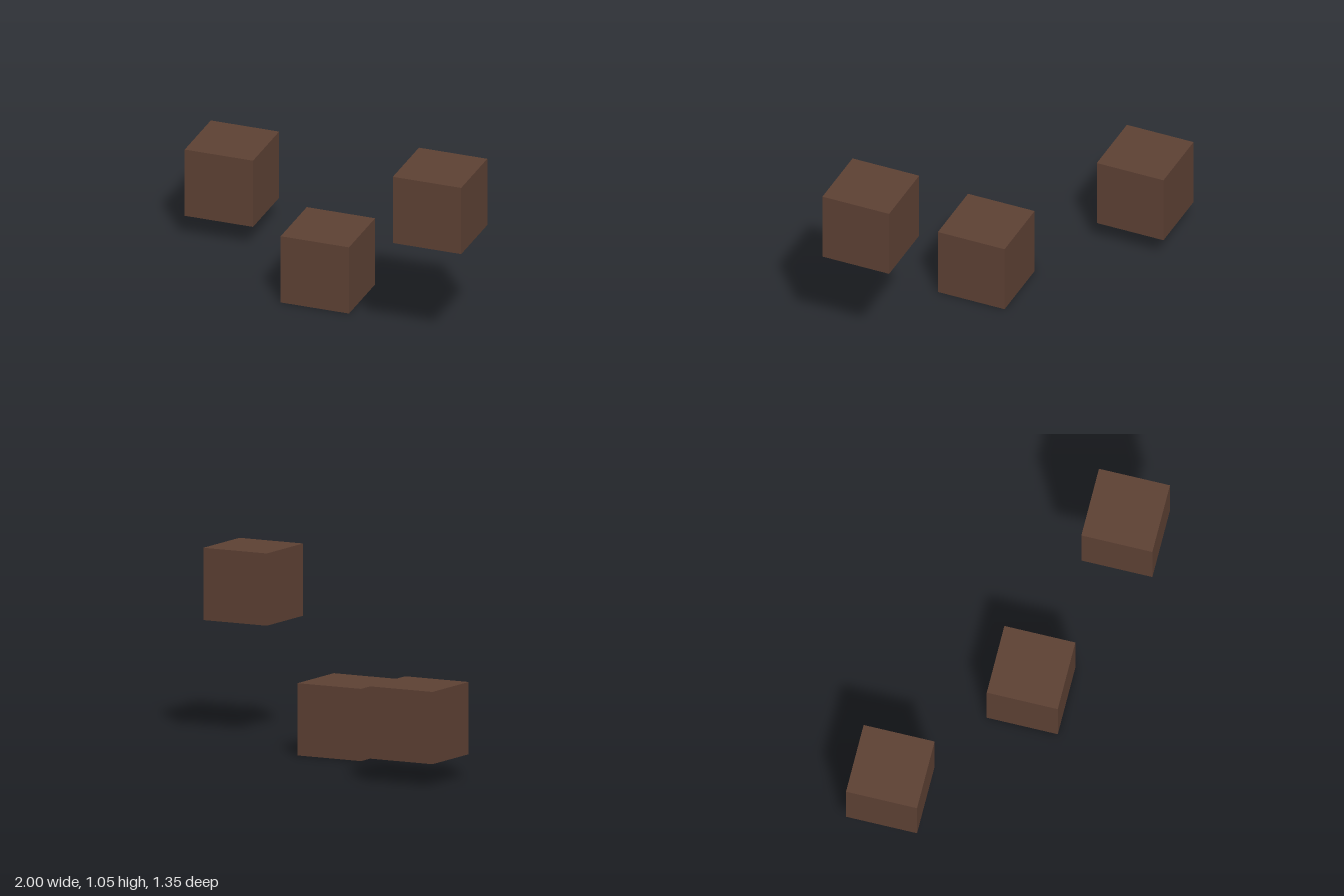
import * as THREE from 'three';

export function createModel() {
  const model = new THREE.Group();
  model.name = 'floatingCubes';
  const brown = new THREE.MeshStandardMaterial({ color: 0x5c4033 });
  brown.name = 'dark brown';

  // Three equal cubes, placed by their centres
  const size = 0.405;
  const geometry = new THREE.BoxGeometry(size, size, size);
  const cubes = {
    rightCube: [-0.7975, 0.332, -0.473],
    middleCube: [0.002, size / 2, 0.131],
    leftCube: [0.7975, 0.851, 0.473],
  };
  for (const [name, centre] of Object.entries(cubes)) {
    const cube = new THREE.Mesh(geometry, brown);
    cube.name = name;
    cube.position.set(...centre);
    model.add(cube);
  }
  return model;
}
